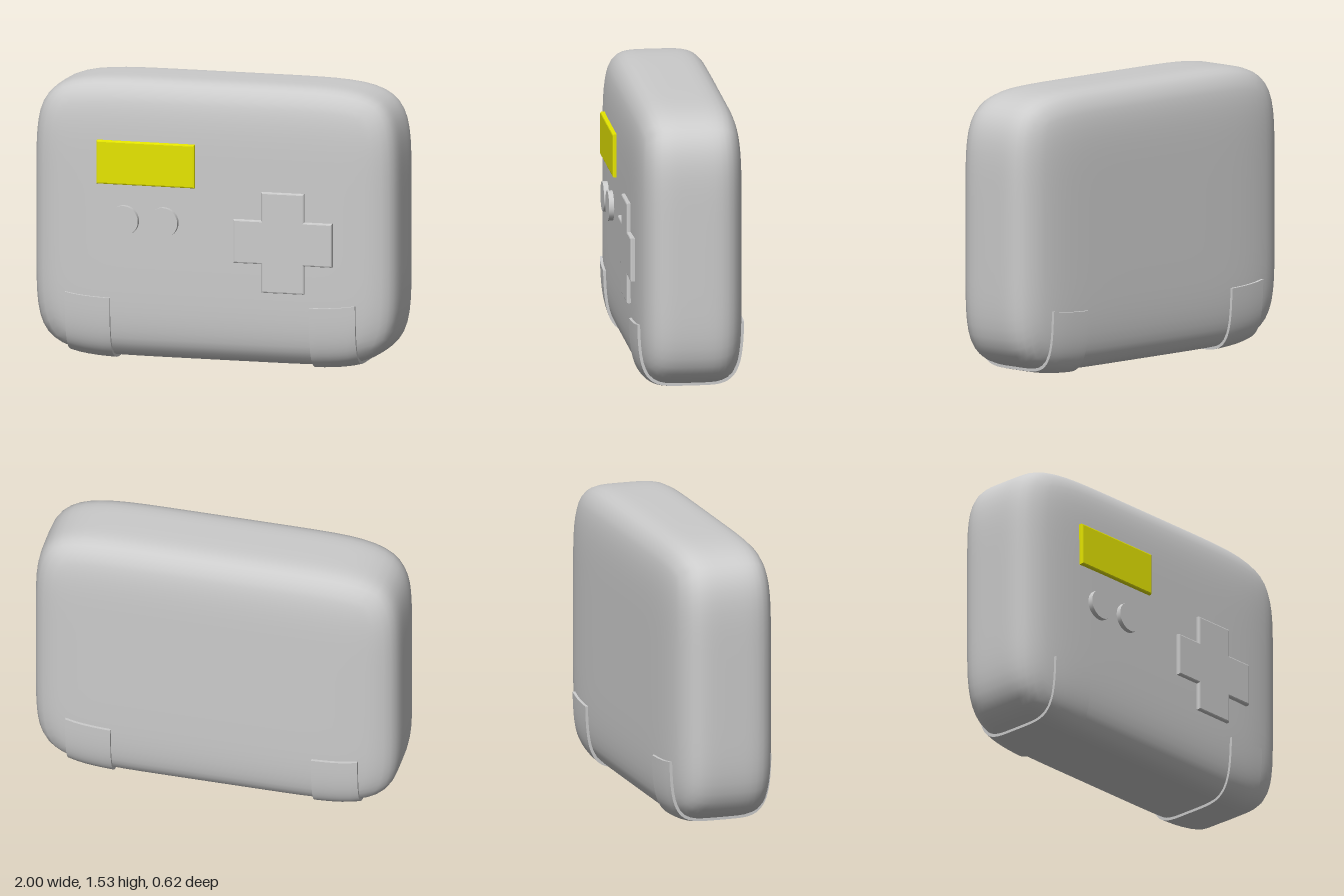
import * as THREE from 'three';
import { mergeVertices } from 'three/addons/utils/BufferGeometryUtils.js';

const HY = 0.757, HZ = 0.288, CY = 0.772, CZ = -0.012;
const grey = new THREE.MeshStandardMaterial({ color: 0xcccccc });
const yellow = new THREE.MeshStandardMaterial({ color: 0xe6e600 });

// Soft-box surface in unit space: |x|^6.4 + |y|^6.4 + |z|^5 = 1
const P = 6.4, Q = 5;
const fit = (f) => {
  let lo = 0, hi = 2;
  for (let i = 0; i < 40; i++) {
    const mid = (lo + hi) / 2;
    if (f(mid) < 1) lo = mid; else hi = mid;
  }
  return lo;
};
const level = (x, y, z) => Math.abs(x) ** P + Math.abs(y) ** P + Math.abs(z) ** Q;

function mesh(name, geometry, material = grey) {
  const m = new THREE.Mesh(geometry, material);
  m.name = name;
  return m;
}

// Pillow-shaped case: a cube grid pushed onto the soft-box surface
function bodyGeometry() {
  let g = new THREE.BoxGeometry(2, 2, 2, 24, 24, 16);
  g.deleteAttribute('uv');
  g.deleteAttribute('normal');
  g = mergeVertices(g);
  const p = g.attributes.position;
  for (let i = 0; i < p.count; i++) {
    const x = p.getX(i), y = p.getY(i), z = p.getZ(i);
    const t = fit((s) => level(x * s, y * s, z * s));
    p.setXYZ(i, x * t, CY + y * t * HY, CZ + z * t * HZ);
  }
  g.computeVertexNormals();
  return g;
}

// Foot pad: a thin strip wrapped under the case from back to front
function footGeometry(x0, x1) {
  const top = -0.56, side = 1 + top, length = 2 * side + 2;
  const g = new THREE.BoxGeometry(1, 1, 1, 5, 48, 1);
  const p = g.attributes.position;
  for (let i = 0; i < p.count; i++) {
    const x = THREE.MathUtils.lerp(x0, x1, p.getX(i) + 0.5);
    const s = (p.getY(i) + 0.5) * length;
    const offset = p.getZ(i) > 0 ? 0.015 : -0.015;
    let v = -1, w = s - side - 1;
    if (s < side) { v = top - s; w = -1; }
    else if (s > side + 2) { v = -1 + s - side - 2; w = 1; }
    const t = fit((k) => level(x, v * k, w * k));
    v *= t;
    w *= t;
    const n = new THREE.Vector2(
      Math.sign(v) * P * Math.abs(v) ** (P - 1) / HY,
      Math.sign(w) * Q * Math.abs(w) ** (Q - 1) / HZ
    ).normalize();
    p.setXYZ(i, x, CY + v * HY + n.x * offset, CZ + w * HZ + n.y * offset);
  }
  g.computeVertexNormals();
  return g;
}

// Flat plate with a small bevel, its face ending at z = front
function plateGeometry(points, front) {
  const b = 0.008;
  const shape = new THREE.Shape(points.map(([x, y]) => new THREE.Vector2(x, y)));
  const g = new THREE.ExtrudeGeometry(shape, {
    depth: 0.04, bevelEnabled: true, bevelSize: b, bevelOffset: -b, bevelThickness: b, bevelSegments: 2,
  });
  return g.translate(0, 0, front - 0.04 - b);
}

export function createModel() {
  const group = new THREE.Group();
  group.name = 'handheldDevice';
  group.add(mesh('body', bodyGeometry()));

  // Feet
  group.add(mesh('leftFoot', footGeometry(0.55, 0.8)));
  group.add(mesh('rightFoot', footGeometry(-0.8, -0.55)));

  // Screen
  const screen = [[-0.62, 0.97], [-0.08, 0.97], [-0.08, 1.205], [-0.62, 1.205]];
  group.add(mesh('screen', plateGeometry(screen, 0.296), yellow));

  // Cross-shaped control pad
  const a = 0.118, r = 0.272;
  const cross = [
    [-a, -r], [a, -r], [a, -a], [r, -a], [r, a], [a, a],
    [a, r], [-a, r], [-a, a], [-r, a], [-r, -a], [-a, -a],
  ].map(([x, y]) => [x + 0.406, y + 0.697]);
  group.add(mesh('controlPad', plateGeometry(cross, 0.296)));

  // Round buttons
  [-0.47, -0.252].forEach((x, i) => {
    const button = mesh(i ? 'innerButton' : 'outerButton', new THREE.CylinderGeometry(0.081, 0.081, 0.06, 32));
    button.rotation.x = Math.PI / 2;
    button.position.set(x, 0.777, 0.273);
    group.add(button);
  });
  return group;
}
